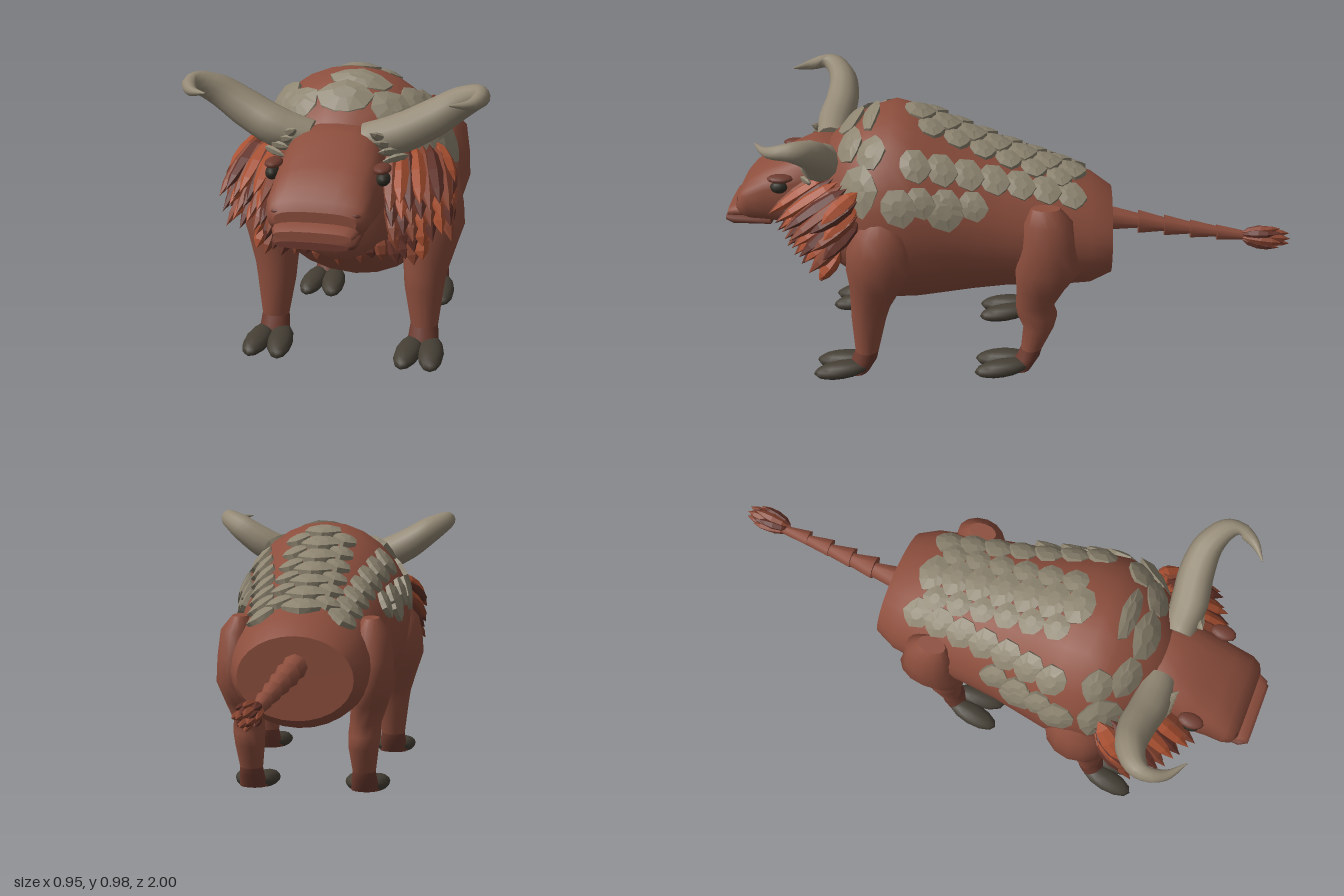
import * as THREE from 'three';

const mat = (name, color, flatShading = false) => {
  const m = new THREE.MeshStandardMaterial({ color, flatShading });
  m.name = name;
  return m;
};
const V = (x, y, z) => new THREE.Vector3(x, y, z);

// Skin over a list of closed cross-sections, with separate fan caps; turned outward by its volume.
function loft(sections) {
  const n = sections[0].length, pts = sections.flat(), idx = [];
  for (let i = 0; i < sections.length - 1; i++)
    for (let j = 0; j < n; j++) {
      const a = i * n + j, b = i * n + (j + 1) % n;
      idx.push(a, b, a + n, b, b + n, a + n);
    }
  [[sections[0], true], [sections[sections.length - 1], false]].forEach(([ring, first]) => {
    const base = pts.length;
    const mid = ring.reduce((s, p) => s.add(p), V(0, 0, 0)).divideScalar(n);
    pts.push(...ring, mid);
    for (let j = 0; j < n; j++) {
      const a = base + j, b = base + (j + 1) % n;
      first ? idx.push(b, a, base + n) : idx.push(a, b, base + n);
    }
  });
  let vol = 0;
  for (let i = 0; i < idx.length; i += 3)
    vol += pts[idx[i]].clone().cross(pts[idx[i + 1]]).dot(pts[idx[i + 2]]);
  if (vol < 0) idx.reverse();
  const g = new THREE.BufferGeometry().setFromPoints(pts);
  g.setIndex(idx);
  g.computeVertexNormals();
  return g;
}

// Cross-sections standing across z: [z, top, bottom, half width]; power < 1 gives a boxier shape.
const pw = (v, p) => Math.sign(v) * Math.abs(v) ** p;
const ringZ = ([z, top, bot, w], a, power = 1, off = 0) => V(
  (w + off) * pw(Math.sin(a), power),
  (top + bot) / 2 + ((top - bot) / 2 + off) * pw(Math.cos(a), power), z);
const loop = (n, f) => Array.from({ length: n }, (_, i) => f(i / n * Math.PI * 2, i));
const loftZ = (rows, n, power) => loft(rows.map(r => loop(n, a => ringZ(r, a, power))));

const BODY = [
  [-0.365, 0.635, 0.345, 0.2], [-0.29, 0.69, 0.305, 0.235], [-0.15, 0.745, 0.29, 0.255],
  [0, 0.8, 0.29, 0.27], [0.12, 0.85, 0.275, 0.285], [0.22, 0.895, 0.26, 0.305],
  [0.32, 0.94, 0.245, 0.325], [0.4, 0.962, 0.24, 0.33], [0.48, 0.935, 0.275, 0.32],
  [0.55, 0.9, 0.33, 0.28], [0.62, 0.84, 0.365, 0.21], [0.68, 0.76, 0.4, 0.15], [0.7, 0.7, 0.45, 0.08]];
const bodyAt = z => {
  let i = 0;
  while (i < BODY.length - 2 && BODY[i + 1][0] < z) i++;
  const t = (z - BODY[i][0]) / (BODY[i + 1][0] - BODY[i][0]);
  return BODY[i].map((v, k) => v + (BODY[i + 1][k] - v) * t);
};

export function createModel() {
  const hide = mat('red brown hide', 0x8c4e3d);
  const darkHide = mat('dark brown hide', 0x6d3b2f);
  const bone = mat('horn beige', 0x948975);
  const plateMat = mat('plate grey beige', 0x8d8470, true);
  const hoofMat = mat('hoof charcoal', 0x443e34);
  const orange = mat('mane orange', 0xa84f30, true);
  const rust = mat('mane rust', 0x85432f, true);
  const umber = mat('mane umber', 0x613128, true);
  const eyeMat = mat('eye dark', 0x2f2d24);

  const root = new THREE.Group();
  root.name = 'hornedBeast';
  const add = (name, geo, m, parent = root) => {
    const mesh = new THREE.Mesh(geo, m);
    mesh.name = name;
    parent.add(mesh);
    return mesh;
  };
  const group = name => {
    const g = new THREE.Group();
    g.name = name;
    root.add(g);
    return g;
  };
  const blob = (name, m, p, s, parent) => {
    const mesh = add(name, new THREE.SphereGeometry(1, 12, 8), m, parent);
    mesh.position.set(...p);
    mesh.scale.set(...s);
    return mesh;
  };

  add('body', loftZ(BODY, 28), hide);

  // Head, muzzle and lips
  add('head', loftZ([
    [0.54, 0.8, 0.5, 0.15], [0.62, 0.83, 0.5, 0.155], [0.7, 0.825, 0.52, 0.165], [0.78, 0.785, 0.535, 0.165],
    [0.85, 0.755, 0.545, 0.16], [0.91, 0.715, 0.555, 0.16], [0.94, 0.68, 0.57, 0.15], [0.955, 0.65, 0.59, 0.125]],
  24, 0.72), hide);
  add('upperLip', loftZ([[0.88, 0.62, 0.57, 0.13], [0.96, 0.618, 0.568, 0.13], [0.99, 0.6, 0.57, 0.118]], 16, 0.75), hide);
  add('lowerLip', loftZ([[0.84, 0.575, 0.535, 0.125], [0.97, 0.58, 0.54, 0.13], [1, 0.573, 0.55, 0.112]], 16, 0.75), darkHide);

  // Feather-like lock running from root to tip
  const lockGeo = new THREE.LatheGeometry(
    [[0, 0], [0.8, 0.2], [1, 0.5], [0.7, 0.78], [0, 1]].map(p => new THREE.Vector2(...p)), 6);
  const lock = (name, a, b, width, flat, m, parent) => {
    const mesh = add(name, lockGeo, m, parent);
    const dir = V(...b).sub(V(...a));
    mesh.position.set(...a);
    mesh.scale.set(width, dir.length(), width * flat);
    mesh.quaternion.setFromUnitVectors(V(0, 1, 0), dir.normalize());
    return mesh;
  };
  const tones = [rust, orange, umber, orange, rust, umber];

  for (const s of [1, -1]) {
    const side = s > 0 ? 'left' : 'right';

    // Horn: tapering tube that sweeps out, up and hooks forward
    const path = new THREE.CatmullRomCurve3([
      [0.09, 0.785, 0.64], [0.2, 0.815, 0.64], [0.3, 0.865, 0.625], [0.39, 0.925, 0.635],
      [0.452, 0.958, 0.69], [0.43, 0.948, 0.765], [0.37, 0.955, 0.815]].map(([x, y, z]) => V(x * s, y, z)));
    const radii = [0.055, 0.064, 0.06, 0.049, 0.031, 0.018, 0.002];
    const frames = path.computeFrenetFrames(24, false);
    add(side + 'Horn', loft(loop(25, (_, i) => {
      const t = i / 24, k = Math.min(5, Math.floor(t * 6)), c = path.getPoint(t);
      const r = THREE.MathUtils.lerp(radii[k], radii[k + 1], t * 6 - k);
      // frames follow arc length, so tilt them with the nearest one
      const f = Math.min(24, Math.round(i));
      return loop(12, a => c.clone().addScaledVector(frames.normals[f], r * Math.cos(a))
        .addScaledVector(frames.binormals[f], r * Math.sin(a)));
    })), bone);

    // Eye, brow, nostril and horn-base scales
    const face = group(side + 'Face');
    blob('eye', eyeMat, [0.172 * s, 0.712, 0.79], [0.022, 0.022, 0.03], face);
    blob('brow', darkHide, [0.168 * s, 0.742, 0.785], [0.028, 0.014, 0.045], face);
    blob('nostril', umber, [0.115 * s, 0.642, 0.943], [0.022, 0.009, 0.009], face);
    for (let i = 0; i < 4; i++)
      lock('hornScale', [(0.17 + i * 0.02) * s, 0.79 - i * 0.012, 0.67], [(0.115 + i * 0.012) * s, 0.83 - i * 0.03, 0.715],
        0.018, 0.6, plateMat, face);

    // Cheek mane: three layers of locks fanning forward and down
    const mane = group(side + 'Mane');
    for (let layer = 0; layer < 3; layer++)
      for (let j = 0; j < 7; j++) {
        const f = j / 6, y = 0.77 - layer * 0.06 - f * 0.02;
        lock('maneLock', [(0.17 + f * 0.12) * s, y, 0.63 - f * 0.11],
          [(0.2 + f * 0.165) * s, y - 0.15 + (j % 2) * 0.025, 0.83 - layer * 0.03 - f * 0.1],
          0.03, 0.75, tones[(j + layer * 2) % 6], mane);
      }
    for (let j = 0; j < 5; j++)
      lock('outerLock', [(0.29 + (j % 2) * 0.02) * s, 0.75 - j * 0.025, 0.5],
        [0.365 * s, 0.66 - j * 0.033, 0.62 + (j % 2) * 0.04], 0.032, 0.7, tones[(j + 1) % 6], mane);
    for (let j = 0; j < 8; j++) {
      const f = j % 4, low = Math.floor(j / 4);
      lock('throatLock', [(0.15 + f * 0.032) * s, 0.56 - low * 0.06, 0.58],
        [(0.19 + f * 0.027) * s, 0.43 - low * 0.045 + (f % 2) * 0.02, 0.655],
        0.03, 0.8, f === 3 ? orange : j % 3 ? umber : rust, mane);
    }

    // Legs: [y, centre x, centre z, half width, half depth]
    const leg = (name, rows, toeX, toeY, toeZ) => {
      const g = group(side + name);
      const make = r => loft(r.map(([y, x, z, rx, rz]) =>
        loop(14, a => V((x + rx * Math.cos(a)) * s, y, z + rz * Math.sin(a)))));
      add('limb', make(rows.slice(0, -2)), hide, g);
      add('ankle', make(rows.slice(-3)), darkHide, g);
      for (const t of [-1, 1]) {
        const toe = blob('toe', hoofMat, [(toeX + t * 0.037) * s, toeY, toeZ], [0.043, 0.031, 0.1], g);
        toe.rotation.set(0.13, t * s * 0.12, 0);
      }
    };
    leg('FrontLeg', [
      [0.66, 0.255, 0.42, 0.05, 0.06], [0.6, 0.268, 0.43, 0.088, 0.1], [0.53, 0.27, 0.435, 0.1, 0.118],
      [0.46, 0.27, 0.44, 0.105, 0.118], [0.39, 0.262, 0.455, 0.09, 0.095], [0.3, 0.252, 0.48, 0.072, 0.07],
      [0.25, 0.25, 0.488, 0.066, 0.062], [0.12, 0.254, 0.5, 0.046, 0.042],
      [0.09, 0.254, 0.51, 0.05, 0.045], [0.04, 0.254, 0.535, 0.055, 0.04]], 0.254, 0.056, 0.59);
    leg('HindLeg', [
      [0.67, 0.23, -0.13, 0.03, 0.05], [0.62, 0.235, -0.14, 0.065, 0.085], [0.53, 0.24, -0.14, 0.072, 0.095],
      [0.44, 0.24, -0.14, 0.075, 0.115], [0.36, 0.225, -0.115, 0.066, 0.085], [0.29, 0.21, -0.095, 0.056, 0.068],
      [0.25, 0.208, -0.105, 0.058, 0.072], [0.2, 0.205, -0.11, 0.054, 0.055], [0.11, 0.205, -0.085, 0.042, 0.038],
      [0.08, 0.205, -0.075, 0.046, 0.04], [0.03, 0.205, -0.045, 0.052, 0.04]], 0.205, 0.042, 0.02);
  }

  // Jagged fringe under the throat
  const fringe = group('throatFringe');
  for (let j = -4; j <= 4; j++)
    lock('fringeLock', [j * 0.032, 0.45 + Math.abs(j) * 0.008, 0.62],
      [j * 0.036, 0.368 + Math.abs(j) * 0.006 + (j & 1) * 0.012, 0.655], 0.028, 0.8, j % 2 ? umber : rust, fringe);

  // Overlapping back plates that follow the body and lift toward the rear
  const plates = group('backPlates');
  const outline = [[-1, 0], [-0.7, 0.55], [-0.25, 1], [0.6, 0.85], [1, 0.3], [1, -0.3], [0.6, -0.85], [-0.25, -1], [-0.7, -0.55]];
  const plate = (z, a, hz, half) => {
    const ha = half / bodyAt(z)[3];
    const at = (u, v, off) => ringZ(bodyAt(z + u * hz), a + v * ha, 1, off);
    add('plate', loft([
      outline.map(([u, v]) => at(u, v, -0.012)),
      outline.map(([u, v]) => at(u, v, 0.011 - u * 0.009)),
      outline.map(([u, v]) => at(u * 0.4, v * 0.4, 0.017 - u * 0.003))]), plateMat, plates);
  };
  for (let r = 0; r < 7; r++) {
    const z = -0.22 + r * 0.088, w = bodyAt(z)[3], reach = 0.62 + r * 0.035;
    for (const k of [-1, 0, 1]) plate(z, k * reach, 0.053, k ? 0.056 : 0.068);
    if (r < 6) for (const s of [-1, 1]) plate(z + 0.044, s * 0.085 / w, 0.045, 0.045);
    if (r > 3) for (const s of [-1, 1]) plate(z - 0.02, s * (reach + 0.36), 0.05, 0.05);
  }
  for (const s of [-1, 1]) {
    [[0.5, 1.12, 0.068, 0.085], [0.36, 1.27, 0.062, 0.06], [0.21, 1.25, 0.065, 0.06],
      [0.46, 0.72, 0.05, 0.06], [0.54, 0.55, 0.045, 0.07]].forEach(([z, a, hz, h]) => plate(z, s * a, hz, h));
  }
  plate(0.55, 0, 0.045, 0.09);
  plate(0.475, 0.12, 0.03, 0.1);

  // Tail of nested tapering segments with a spiky tuft
  const tail = group('tail');
  for (let i = 0; i < 5; i++) {
    const z0 = i ? -0.37 - i * 0.093 : -0.34, z1 = -0.485 - i * 0.093, r = 0.049 - i * 0.005;
    const ring = (z, q) => loop(8, a => V(i * 0.008 + q * Math.cos(a), 0.53 - (-z - 0.37) * 0.1 + q * Math.sin(a), z));
    add('tailSegment', loft([ring(z0, r), ring(z1, r * 0.5)]), hide, tail);
  }
  for (let ringNo = 0; ringNo < 2; ringNo++)
    for (let j = 0; j < 8; j++) {
      const a = (j + ringNo / 2) * Math.PI / 4, q = ringNo ? 0.018 : 0.038;
      lock('tuftLock', [0.044 + 0.014 * Math.cos(a), 0.485 + 0.014 * Math.sin(a), -0.83 - ringNo * 0.04],
        [0.05 + q * Math.cos(a), 0.48 + q * Math.sin(a), -0.965 - ringNo * 0.035 + (j % 2) * 0.02],
        0.019, 0.9, j % 2 ? umber : rust, tail);
    }
  return root;
}
